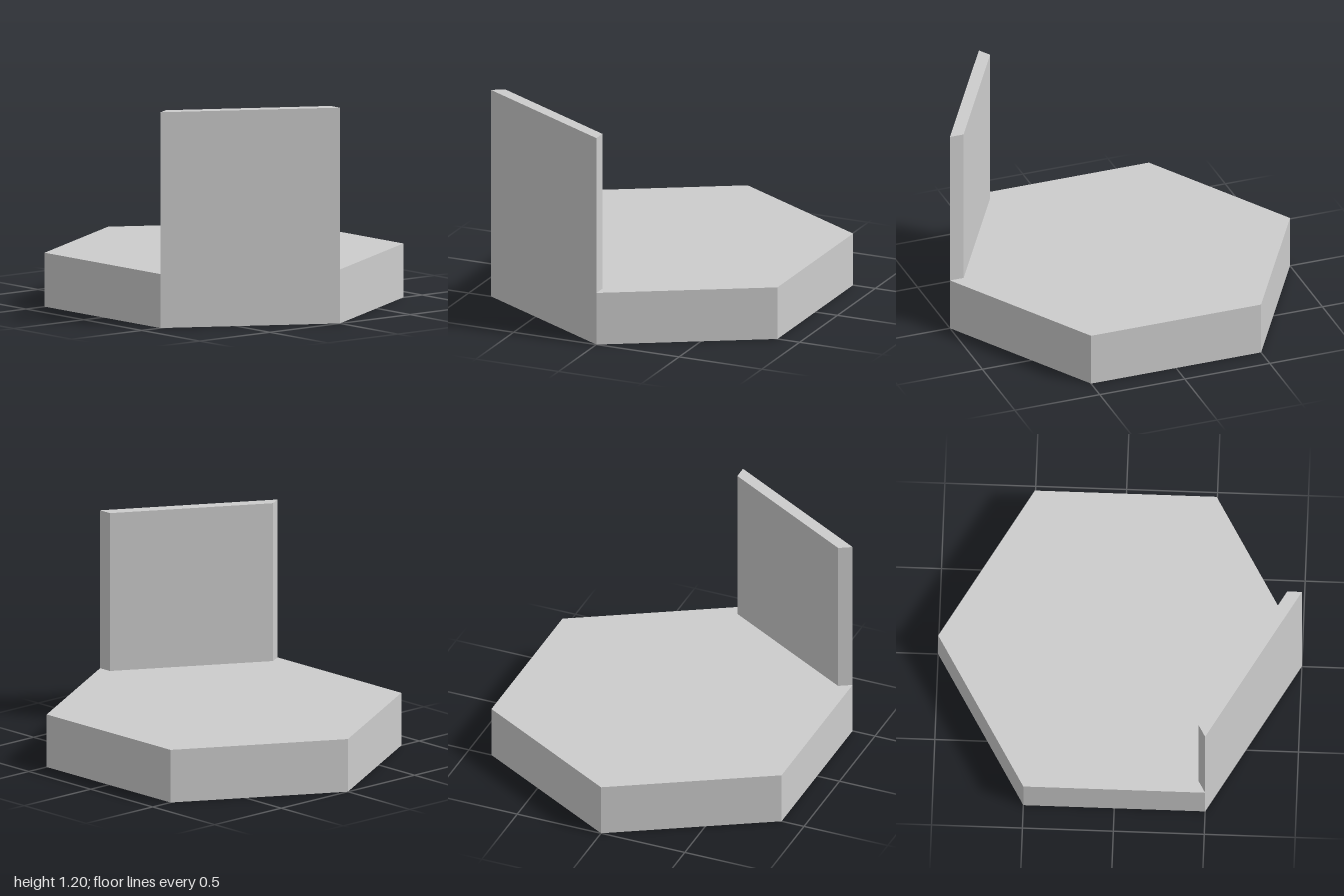
import * as THREE from 'three';

const BASE_HEIGHT = 0.3;
const TOTAL_HEIGHT = 1.2;
const INNER_RADIUS = 0.92;

// Hexagon corner i in plan (x, z), starting at the front and going towards +x
function corner(i, radius = 1) {
  const a = (i * Math.PI) / 3;
  return new THREE.Vector2(Math.sin(a) * radius, Math.cos(a) * radius);
}

// Upright prism over a plan outline of (x, z) points
function prism(name, points, bottom, top, material) {
  const shape = new THREE.Shape(points.map((p) => new THREE.Vector2(p.x, -p.y)));
  const geometry = new THREE.ExtrudeGeometry(shape, { depth: top - bottom, bevelEnabled: false });
  geometry.rotateX(-Math.PI / 2);
  geometry.translate(0, bottom, 0);
  const mesh = new THREE.Mesh(geometry, material);
  mesh.name = name;
  return mesh;
}

export function createModel() {
  const grey = new THREE.MeshStandardMaterial({ color: 0xcccccc });
  grey.name = 'light grey';

  const group = new THREE.Group();
  group.name = 'hexagonTileWithWall';

  // Hexagonal floor slab
  const hexagon = [0, 1, 2, 3, 4, 5].map((i) => corner(i));
  group.add(prism('floorSlab', hexagon, 0, BASE_HEIGHT, grey));

  // Wall along the front right edge, with radially cut ends
  const wall = [corner(0), corner(0, INNER_RADIUS), corner(5, INNER_RADIUS), corner(5)];
  group.add(prism('wall', wall, BASE_HEIGHT, TOTAL_HEIGHT, grey));

  return group;
}
